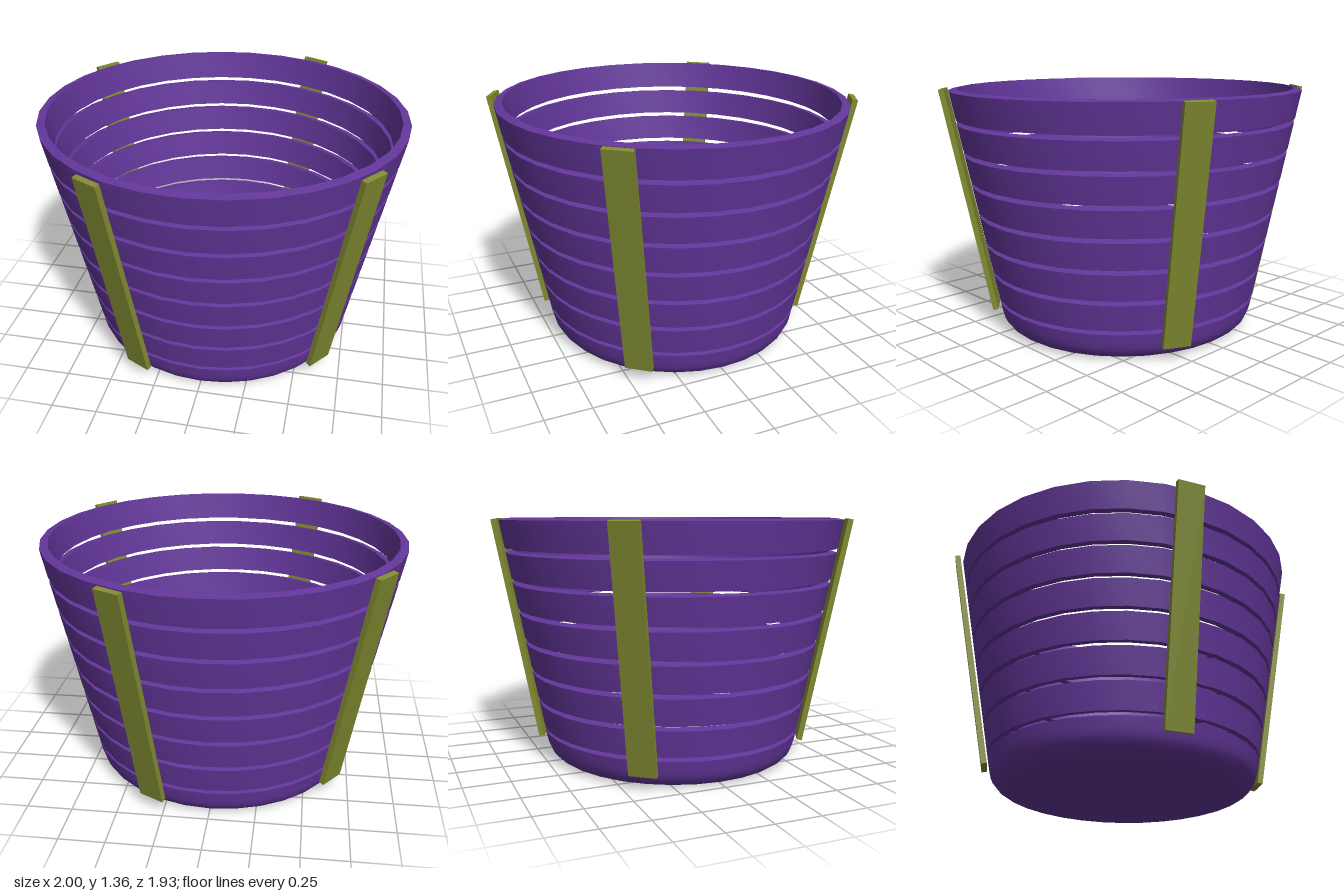
import * as THREE from 'three';
import { toCreasedNormals } from 'three/addons/utils/BufferGeometryUtils.js';

const SIDES = 32, DEPTH = 0.963, SLOPE = 0.197, WALL = 0.045;
const purple = new THREE.MeshStandardMaterial({ color: 0x63369a });
const olive = new THREE.MeshStandardMaterial({ color: 0x828c32 });
const grey = new THREE.MeshStandardMaterial({ color: 0xcccccc });

const v = (x, y) => new THREE.Vector2(x, y);
const outer = (y) => v(1 - (1.35 - y) * SLOPE, y);
// the wall leans outward, so its inner edge sits a little higher
const inner = (y) => outer(y).add(v(-WALL, WALL * SLOPE));

// slightly oval turned part
function turned(name, points) {
  const geo = new THREE.LatheGeometry(points, SIDES);
  geo.scale(1, 1, DEPTH);
  const mesh = new THREE.Mesh(toCreasedNormals(geo, 0.6), purple);
  mesh.name = name;
  return mesh;
}

export function createModel() {
  const group = new THREE.Group();
  group.name = 'slattedBasket';

  // seven leaning hoops with narrow gaps between
  for (let i = 0; i < 7; i++) {
    const low = 0.179 + i * 0.1695;
    const high = i === 6 ? 1.35 : low + 0.1445;
    group.add(turned('hoop' + (i + 1), [outer(low), outer(high), inner(high), inner(low), outer(low)]));
  }

  // bottom tray with rounded edge inside and out
  const outerBend = new THREE.QuadraticBezierCurve(v(0.64, 0), outer(0), outer(0.1)).getPoints(6);
  const innerBend = new THREE.QuadraticBezierCurve(inner(0.1), v(0.695, WALL), v(0.65, WALL)).getPoints(5);
  group.add(turned('tray', [v(0, 0), ...outerBend, outer(0.156), inner(0.156), ...innerBend]));

  // inside floor
  const floor = new THREE.Mesh(new THREE.CircleGeometry(0.65, SIDES), grey);
  floor.name = 'floor';
  floor.rotation.x = -Math.PI / 2;
  floor.scale.y = DEPTH;
  floor.position.y = WALL;
  group.add(floor);

  // four leaning uprights: x, z and facing angle from the front in degrees
  const uprights = [
    ['frontUpright', -0.407, 0.785, -27],
    ['leftUpright', 0.725, 0.53, 51.5],
    ['backUpright', 0.365, -0.803, 153],
    ['rightUpright', -0.745, -0.49, 231.5],
  ];
  for (const [name, x, z, angle] of uprights) {
    const bar = new THREE.Mesh(new THREE.BoxGeometry(0.15, 1.295, 0.03), olive);
    bar.name = name;
    bar.rotation.order = 'YXZ';
    bar.rotation.set(Math.atan(SLOPE), THREE.MathUtils.degToRad(angle), 0);
    bar.position.set(x, 0.718, z);
    group.add(bar);
  }
  return group;
}
